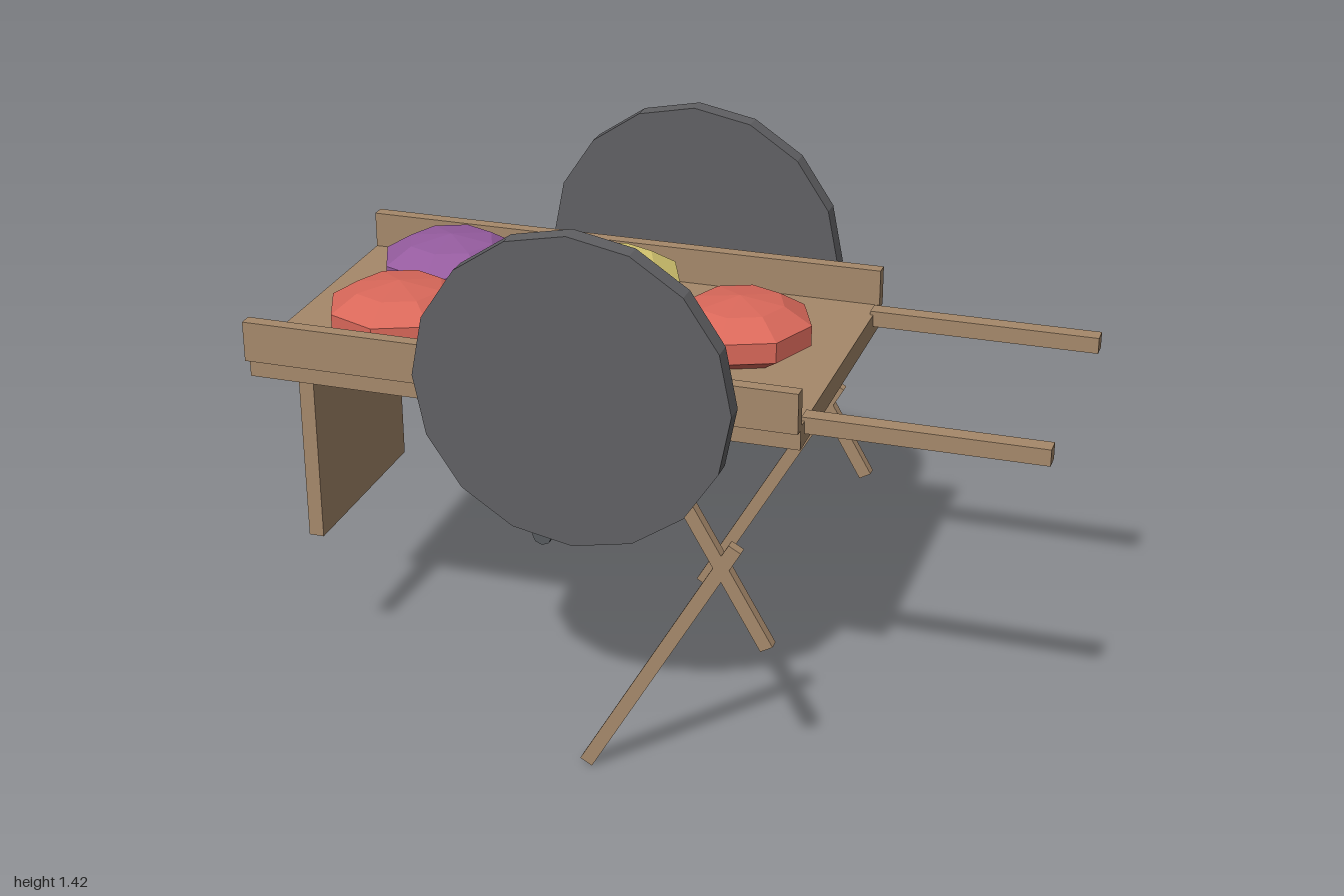
import * as THREE from 'three';

const mat = (name, color) => {
  const m = new THREE.MeshStandardMaterial({ color, flatShading: true });
  m.name = name;
  return m;
};

export function createModel() {
  const wood = mat('wood', 0xa5886a);
  const wheelGrey = mat('wheelGrey', 0x606063);
  const axleGrey = mat('axleGrey', 0x565a5e);
  const red = mat('red', 0xd9685a);
  const purple = mat('purple', 0x955c9f);
  const yellow = mat('yellow', 0xd8c972);
  const green = mat('green', 0x9dbd6a);

  const cart = new THREE.Group();
  cart.name = 'marketCart';

  const add = (name, geometry, material, x, y, z) => {
    const mesh = new THREE.Mesh(geometry, material);
    mesh.name = name;
    mesh.position.set(x, y, z);
    cart.add(mesh);
    return mesh;
  };
  // Box given by its minimum and maximum along each axis
  const block = (name, x0, x1, y0, y1, z0, z1) =>
    add(name, new THREE.BoxGeometry(x1 - x0, y1 - y0, z1 - z0), wood,
      (x0 + x1) / 2, (y0 + y1) / 2, (z0 + z1) / 2);
  // Slanted leg from its lower end, leaning by an angle about z
  const leg = (name, x, y, z, length, lean) => {
    const geometry = new THREE.BoxGeometry(0.035, length, 0.027);
    geometry.translate(0, length / 2, 0);
    add(name, geometry, wood, x, y, z).rotation.z = lean;
  };

  // Tray and the board that props up its far end
  block('tray', -1, 0.418, 0.9, 0.96, -0.395, 0.395);
  block('supportBoard', -0.935, -0.895, 0.4, 0.905, -0.266, 0.266);

  // Paired parts on both sides
  for (const s of [1, -1]) {
    const side = s > 0 ? 'left' : 'right';
    const zc = s * 0.4025;
    block(side + 'Rail', -1, 0.418, 0.951, 1.055, zc - 0.0175, zc + 0.0175);
    const hz = s * 0.338;
    block(side + 'Handle', 0.41, 1, 0.928, 0.97, hz - 0.022, hz + 0.022);

    const disc = new THREE.CylinderGeometry(0.397, 0.397, 0.051, 16);
    disc.rotateX(Math.PI / 2);
    add(side + 'Wheel', disc, wheelGrey, -0.112, 1.02, s * 0.49);

    leg(side + 'LongLeg', -0.09, 0.009, s * 0.4905, 0.765, -Math.PI / 6);
    leg(side + 'ShortLeg', 0.374, 0.415, s * 0.4905, 0.765, Math.PI / 6);
  }

  // Axle bar across the underside
  const bar = new THREE.CylinderGeometry(0.025, 0.025, 0.96, 8);
  bar.rotateX(Math.PI / 2);
  add('axle', bar, axleGrey, -0.202, 0.619, 0);

  // Squashed faceted fruit lying on the tray
  const fruit = new THREE.SphereGeometry(0.194, 8, 5);
  fruit.scale(1, 0.443, 1);
  for (const [name, material, x, z] of [
    ['purpleFruit', purple, -0.69, -0.18],
    ['redFruitBack', red, -0.69, 0.162],
    ['yellowFruit', yellow, -0.245, -0.18],
    ['greenFruit', green, -0.245, 0.162],
    ['redFruitFront', red, 0.153, 0],
  ]) add(name, fruit, material, x, 1.02, z);

  return cart;
}
